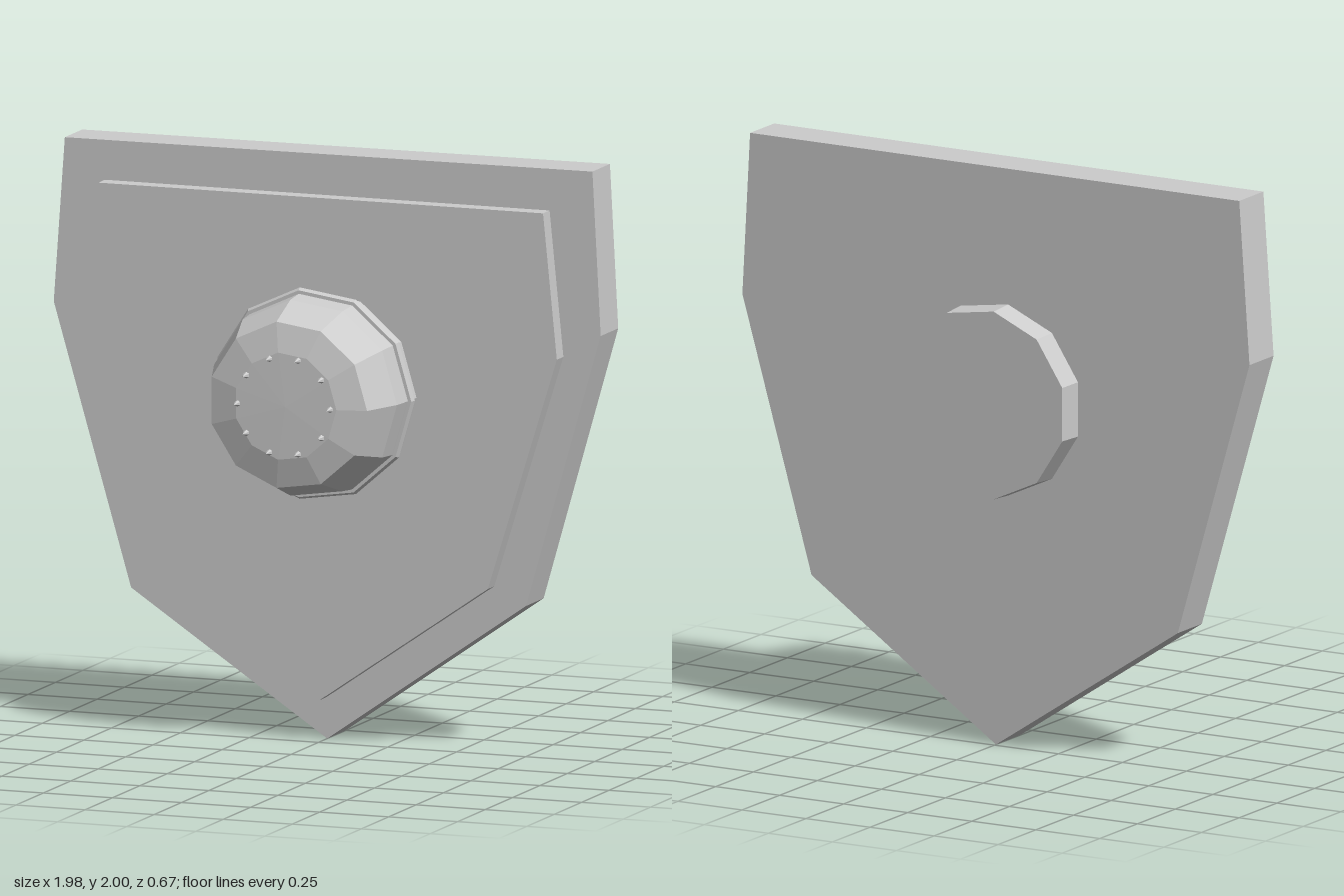
import * as THREE from 'three';

const SIDES = 11;
const BOSS_Y = 1.197;

// Flat polygon plate extruded from zBack to zFront
function plate(name, points, zBack, zFront, material) {
  const shape = new THREE.Shape(points.map(([x, y]) => new THREE.Vector2(x, y)));
  const geometry = new THREE.ExtrudeGeometry(shape, { depth: zFront - zBack, bevelEnabled: false });
  geometry.translate(0, 0, zBack);
  const mesh = new THREE.Mesh(geometry, material);
  mesh.name = name;
  return mesh;
}

export function createModel() {
  const group = new THREE.Group();
  group.name = 'shieldPlaque';
  const grey = new THREE.MeshStandardMaterial({ color: 0xcccccc, flatShading: true });
  grey.name = 'light grey';

  // Shield backing and raised front panel
  group.add(plate('backPlate', [
    [0, 0], [0.72, 0.5], [0.99, 1.44], [0.96, 2], [-0.95, 1.993], [-0.99, 1.43], [-0.71, 0.47],
  ], -0.24, -0.08, grey));
  group.add(plate('frontPanel', [
    [-0.005, 0.14], [0.605, 0.56], [0.855, 1.36], [0.805, 1.857], [-0.805, 1.857], [-0.85, 1.36], [-0.615, 0.56],
  ], -0.08, -0.02, grey));

  // Faceted boss running through the shield
  const boss = new THREE.Group();
  boss.name = 'boss';
  boss.position.set(0, BOSS_Y, 0);
  group.add(boss);

  const profile = [
    [0, -0.335], [0.328, -0.335], [0.347, -0.02], [0.345, 0.06],
    [0.338, 0.135], [0.287, 0.28], [0.185, 0.303], [0, 0.306],
  ].map(([r, z]) => new THREE.Vector2(r, z));
  const domeGeometry = new THREE.LatheGeometry(profile, SIDES, Math.PI / 2);
  domeGeometry.rotateX(Math.PI / 2);
  const dome = new THREE.Mesh(domeGeometry, grey);
  dome.name = 'dome';
  boss.add(dome);

  // Thin band around the boss
  const band = new THREE.Mesh(new THREE.TorusGeometry(0.349, 0.016, 6, SIDES), grey);
  band.name = 'band';
  band.position.z = 0.04;
  boss.add(band);

  // Ring of small spikes on the boss face
  const spikeGeometry = new THREE.ConeGeometry(0.013, 0.04, 6);
  spikeGeometry.rotateX(Math.PI / 2);
  for (let i = 0; i < 10; i++) {
    const angle = (i / 10) * Math.PI * 2;
    const spike = new THREE.Mesh(spikeGeometry, grey);
    spike.name = 'spike' + (i + 1);
    spike.position.set(Math.cos(angle) * 0.168 - 0.005, Math.sin(angle) * 0.168, 0.317);
    boss.add(spike);
  }

  return group;
}
